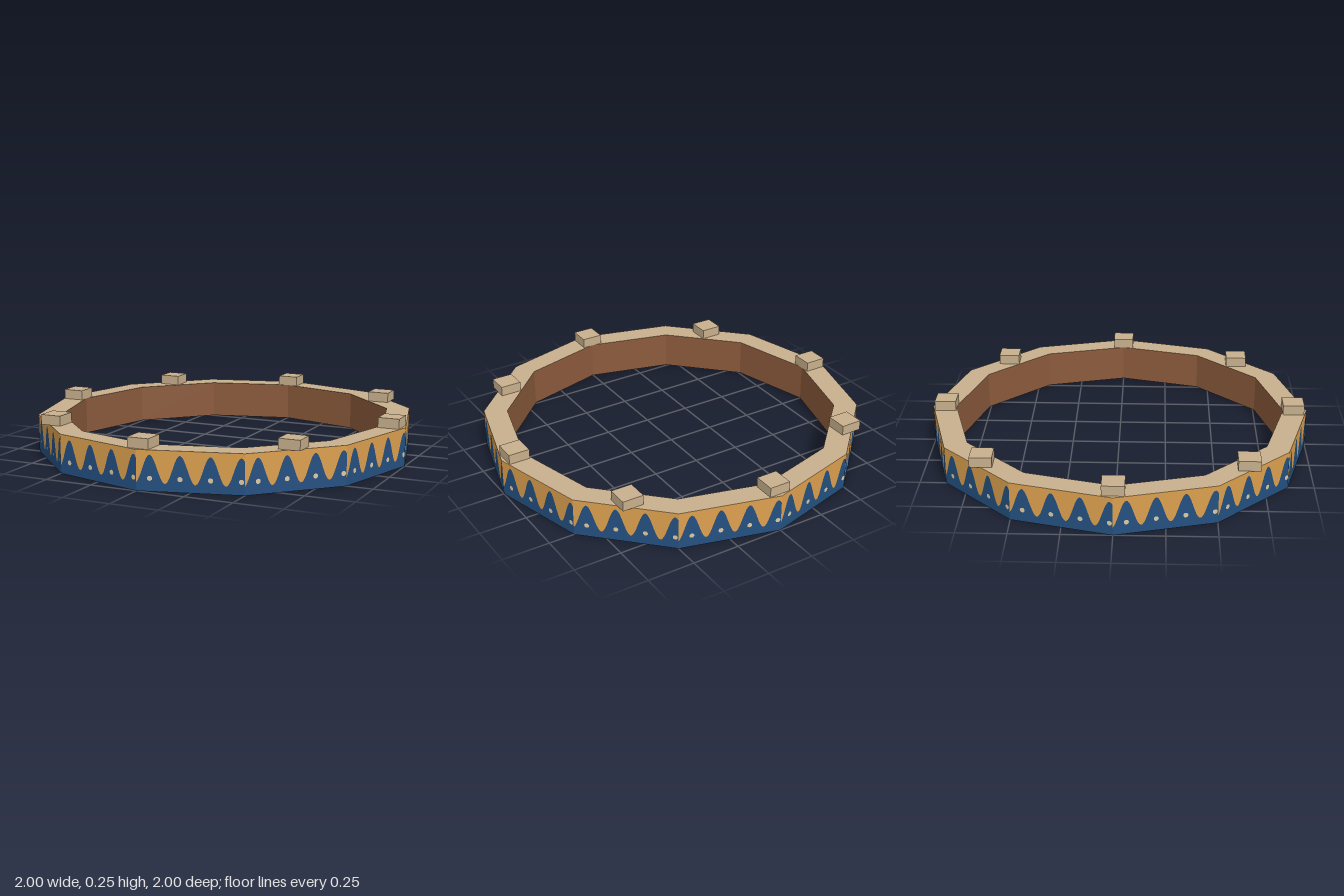
import * as THREE from 'three';

const material = (name, color) => {
  const m = new THREE.MeshStandardMaterial({ color });
  m.name = name;
  return m;
};

export function createModel() {
  const tan = material('pale wood', 0xc8b08c);
  const brown = material('brown wood', 0x8b5a3c);
  const orange = material('ochre paint', 0xdca04e);
  const blue = material('blue paint', 0x245080);
  const cream = material('cream paint', 0xdccaa6);

  const SIDES = 12, OUTER = 1, INNER = 0.875, HEIGHT = 0.2;
  const half = Math.PI / SIDES;
  const width = 2 * OUTER * Math.sin(half);
  const model = new THREE.Group();
  model.name = 'decoratedRing';

  const add = (parent, name, geometry, mat, x = 0, y = 0, z = 0) => {
    const mesh = new THREE.Mesh(geometry, mat);
    mesh.name = name;
    mesh.position.set(x, y, z);
    parent.add(mesh);
    return mesh;
  };

  // Wave line, starting again at the left end of each side
  const firstPeak = 0.126, period = 0.281;
  const wave = [];
  for (let i = 0; i <= 72; i++) {
    const u = i / 72;
    const y = 0.108 + 0.069 * Math.cos(((u - firstPeak) / period) * Math.PI * 2);
    wave.push(new THREE.Vector2((u - 0.5) * width, y));
  }
  const corner = (x, y) => new THREE.Vector2(x * width / 2, y);
  const lowerBand = new THREE.ShapeGeometry(
    new THREE.Shape([corner(-1, 0), corner(1, 0), ...wave.slice().reverse()]));
  const upperBand = new THREE.ShapeGeometry(
    new THREE.Shape([...wave, corner(1, HEIGHT), corner(-1, HEIGHT)]));
  const dot = new THREE.CircleGeometry(0.0125, 12);
  const innerPanel = new THREE.PlaneGeometry(2 * INNER * Math.sin(half), HEIGHT);

  // Twelve flat sides with painted outside and plain inside
  for (let k = 0; k < SIDES; k++) {
    const side = new THREE.Group();
    side.name = 'side';
    side.rotation.y = (2 * k + 1) * half;
    model.add(side);
    const z = OUTER * Math.cos(half);
    add(side, 'lowerBand', lowerBand, blue, 0, 0, z);
    add(side, 'upperBand', upperBand, orange, 0, 0, z);
    for (let p = 0; p < 4; p++) {
      const u = firstPeak + p * period;
      add(side, 'dot', dot, cream, (u - 0.5) * width, 0.064, z + 0.002);
    }
    add(side, 'innerWall', innerPanel, brown, 0, HEIGHT / 2, INNER * Math.cos(half))
      .rotation.y = Math.PI;
  }

  // Top and bottom rims
  const rim = new THREE.RingGeometry(INNER, OUTER, SIDES);
  add(model, 'topRim', rim, tan, 0, HEIGHT, 0).rotation.x = -Math.PI / 2;
  add(model, 'bottomRim', rim, brown).rotation.x = Math.PI / 2;

  // Eight square blocks standing on the rim, all aligned to the axes
  const block = new THREE.BoxGeometry(0.112, 0.052, 0.112);
  for (let k = 0; k < 8; k++) {
    const a = (k * Math.PI) / 4;
    add(model, 'rimBlock', block, tan, 0.926 * Math.sin(a), 0.226, 0.926 * Math.cos(a));
  }
  return model;
}
